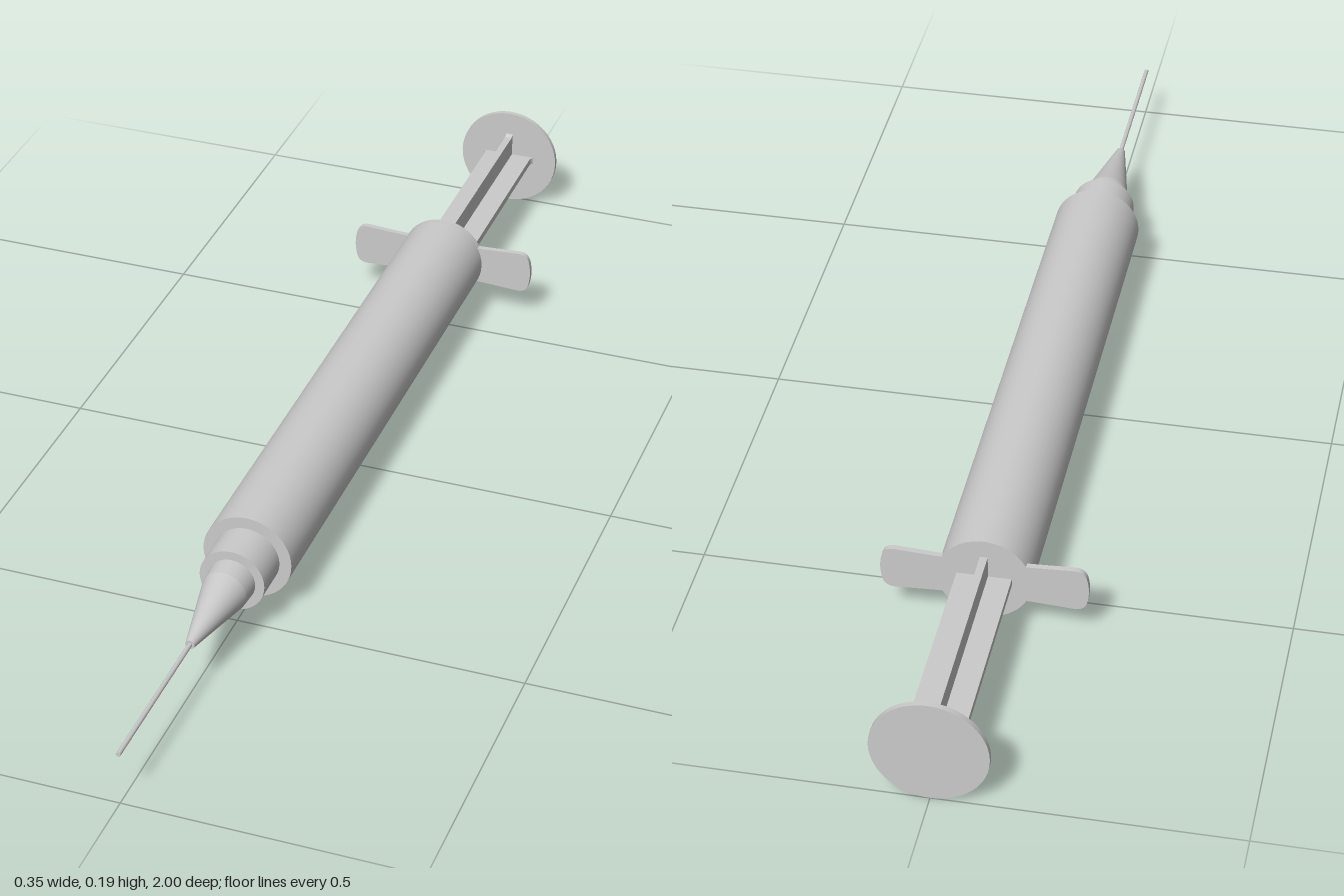
import * as THREE from 'three';

const AXIS_Y = 0.097;

export function createModel() {
  const model = new THREE.Group();
  model.name = 'syringe';
  const body = new THREE.Group();
  body.name = 'syringeBody';
  body.position.y = AXIS_Y;
  model.add(body);
  const material = new THREE.MeshStandardMaterial({ color: 0xcccccc });

  const add = (name, geometry) => {
    const mesh = new THREE.Mesh(geometry, material);
    mesh.name = name;
    body.add(mesh);
    return mesh;
  };

  // Round section along z from back to front
  const round = (name, zBack, zFront, rBack, rFront, sides = 48) => {
    const g = new THREE.CylinderGeometry(rFront, rBack, zFront - zBack, sides);
    g.rotateX(Math.PI / 2);
    g.translate(0, 0, (zBack + zFront) / 2);
    return add(name, g);
  };

  round('barrel', -0.575, 0.45, 0.078, 0.078);
  round('collar', 0.45, 0.52, 0.057, 0.057);
  round('hubBase', 0.52, 0.555, 0.041, 0.039);
  round('hubCone', 0.555, 0.705, 0.039, 0.008);
  round('needle', 0.7, 1, 0.004, 0.004, 16);
  round('thumbDisc', -1, -0.991, 0.096, 0.096);

  // Finger flange: slightly waisted bar with rounded ends
  const flange = new THREE.Shape();
  flange.moveTo(-0.078, -0.036);
  flange.lineTo(0.078, -0.036);
  flange.lineTo(0.15, -0.04);
  flange.quadraticCurveTo(0.168, -0.04, 0.171, -0.022);
  flange.quadraticCurveTo(0.176, 0, 0.171, 0.022);
  flange.quadraticCurveTo(0.168, 0.04, 0.15, 0.04);
  flange.lineTo(0.078, 0.036);
  flange.lineTo(-0.078, 0.036);
  flange.lineTo(-0.15, 0.04);
  flange.quadraticCurveTo(-0.168, 0.04, -0.171, 0.022);
  flange.quadraticCurveTo(-0.176, 0, -0.171, -0.022);
  flange.quadraticCurveTo(-0.168, -0.04, -0.15, -0.04);
  flange.closePath();
  const flangeGeometry = new THREE.ExtrudeGeometry(flange, { depth: 0.01, bevelEnabled: false, curveSegments: 8 });
  flangeGeometry.translate(0, 0, -0.583);
  add('fingerFlange', flangeGeometry);
  round('flangeRing', -0.583, -0.574, 0.0785, 0.0785);

  // Plunger ribs: two crossed blades that flare where they meet the disc
  const blade = new THREE.Shape();
  blade.moveTo(-0.046, -0.57);
  blade.lineTo(-0.046, -0.978);
  blade.quadraticCurveTo(-0.046, -0.991, -0.054, -0.992);
  blade.lineTo(0.054, -0.992);
  blade.quadraticCurveTo(0.046, -0.991, 0.046, -0.978);
  blade.lineTo(0.046, -0.57);
  blade.closePath();
  for (const [name, turn] of [['plungerRibFlat', 0], ['plungerRibUpright', Math.PI / 2]]) {
    const g = new THREE.ExtrudeGeometry(blade, { depth: 0.013, bevelEnabled: false, curveSegments: 6 });
    g.translate(0, 0, -0.0065);
    g.rotateX(Math.PI / 2);
    g.rotateZ(turn);
    add(name, g);
  }

  return model;
}
